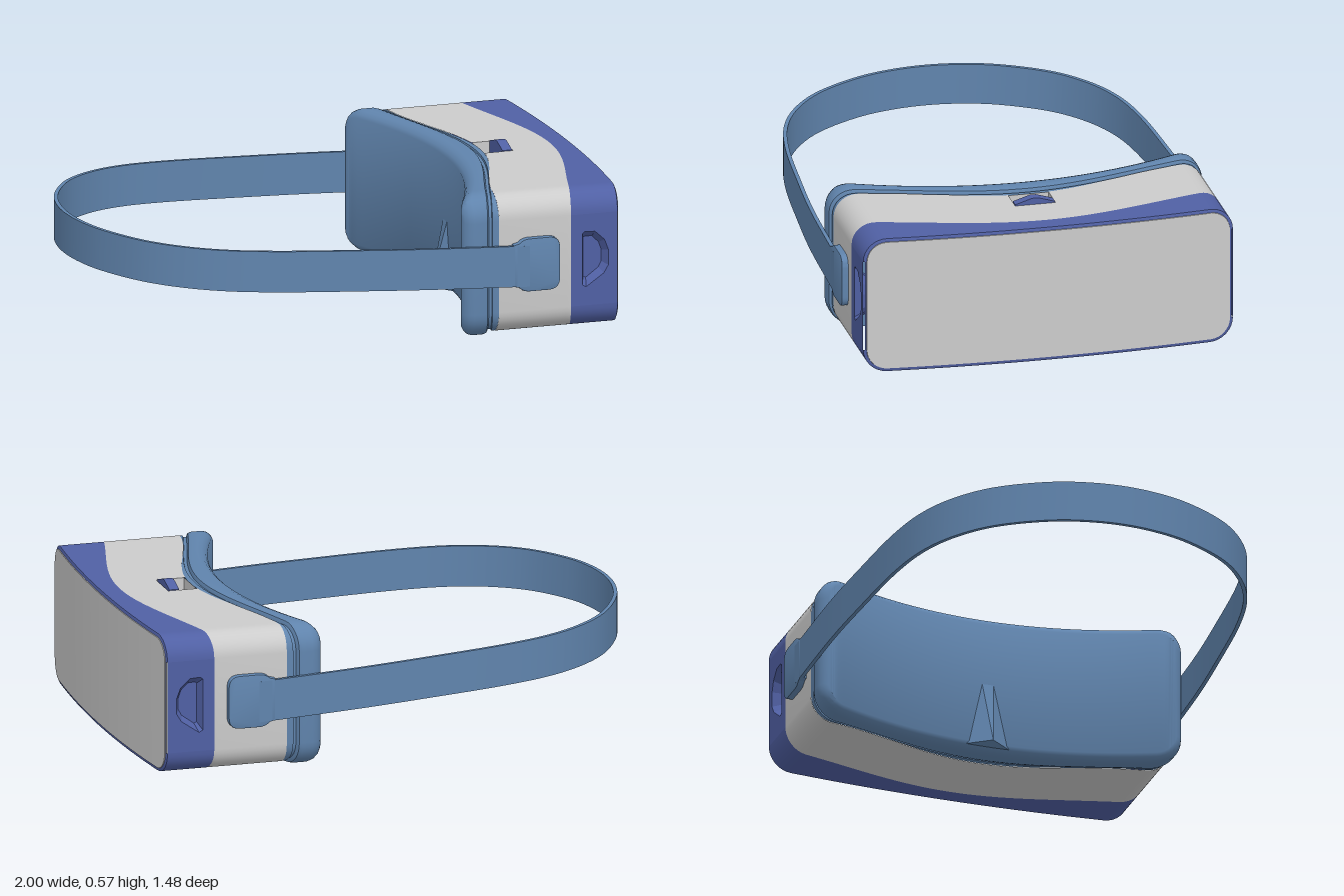
import * as THREE from 'three';
import { toCreasedNormals } from 'three/addons/utils/BufferGeometryUtils.js';
import { ConvexGeometry } from 'three/addons/geometries/ConvexGeometry.js';

const HZ = 0.715, CY = 0.2775, HY = 0.2675, R = 0.09; // housing half width, centre, half height, corner
const NOTCH = (HZ - R) * 3 / 24;                      // half width of the slider recess

const mat = (color, side = THREE.FrontSide) =>
  new THREE.MeshStandardMaterial({ color, side, roughness: 0.7 });
const grey = mat(0xcccccc), foamBlue = mat(0x6084ad), deepBlue = mat(0x5060a4);

// Depth curves: x as a function of z
const sq = z => (z / HZ) ** 2;
const wave = z => (1 - Math.cos(Math.PI * z / HZ)) / 2;
const foamBack = z => 0.51 - 0.165 * Math.min(1, (z / 0.68) ** 2);
const foamFront = z => 0.61 - 0.165 * (0.5 * sq(z) + 0.5 * wave(z));
const bodyBack = z => 0.645 - 0.16 * wave(z);
const visorBack = z => 0.92 - 0.15 * (0.5 * sq(z) + 0.5 * wave(z));
const visorFront = z => 1 - 0.04 * sq(z);

function mesh(name, geometry, material) {
  const m = new THREE.Mesh(geometry, material);
  m.name = name;
  return m;
}

function build(pos, idx, crease = 0.6) {
  const g = new THREE.BufferGeometry();
  g.setAttribute('position', new THREE.Float32BufferAttribute(pos, 3));
  g.setIndex(idx);
  return toCreasedNormals(g, crease);
}

// Columns of a rounded rectangle: [z, half height], from -z to +z
function columns(inset) {
  const hz = HZ - inset, hy = HY - inset, r = R - inset, half = [];
  for (let k = 0; k <= 24; k++) half.push([(HZ - R) * k / 24, hy]);
  for (let k = 1; k <= 8; k++) {
    const a = k / 8 * Math.PI / 2;
    half.push([hz - r + r * Math.sin(a), hy - r + r * Math.cos(a)]);
  }
  return [...half.slice(1).reverse().map(([z, h]) => [-z, h]), ...half];
}

// Curved slab: rounded-rectangle loops, each [x(z), inset], joined along x
function slab(layers, { back = false, front = false, sides = true, notch = false } = {}) {
  const pos = [], idx = [];
  let n = 0;
  for (const [fx, inset] of layers) {
    const cols = columns(inset);
    n = cols.length;
    for (const [z, h] of cols) pos.push(fx(z), CY + h, z);
    for (const [z, h] of cols.reverse()) pos.push(fx(z), CY - h, z);
  }
  const loop = 2 * n, mid = (n - 1) / 2;
  for (let k = 0; k < layers.length - 1; k++) {
    for (let i = 0; i < loop; i++) {
      if (!sides && (i === n - 1 || i === loop - 1)) continue;
      if (notch && k === 0 && i >= mid - 3 && i < mid + 3) continue;
      const a = k * loop + i, b = k * loop + (i + 1) % loop;
      idx.push(a, b, b + loop, a, b + loop, a + loop);
    }
  }
  const last = (layers.length - 1) * loop;
  for (let i = 0; i < n - 1; i++) {
    const t = i, t2 = i + 1, b = loop - 1 - i, b2 = loop - 2 - i;
    if (back) idx.push(b, t2, t, b, b2, t2);
    if (front) idx.push(last + b, last + t, last + t2, last + b, last + t2, last + b2);
  }
  return build(pos, idx);
}

// Side panel of the visor with a sunken grip, made for the +z side
function sidePanel() {
  const g = new THREE.Group();
  const double = mat(0x5060a4, THREE.DoubleSide);
  const rim = [[0.815, 0.38], [0.825, 0.387], [0.865, 0.385], [0.903, 0.35], [0.918, 0.31],
    [0.918, 0.25], [0.9, 0.22], [0.83, 0.172], [0.815, 0.18]].map(p => new THREE.Vector2(...p));
  const floor = rim.map(p => new THREE.Vector2(0.862 + (p.x - 0.862) * 0.7, 0.28 + (p.y - 0.28) * 0.75));
  const top = CY + HY - R, bottom = CY - HY + R;
  const panel = new THREE.Shape([[0.77, bottom], [0.954, bottom], [0.954, top], [0.77, top]]
    .map(p => new THREE.Vector2(...p)));
  panel.holes.push(new THREE.Path(rim));
  const pos = [], idx = [], n = rim.length;
  rim.forEach(p => pos.push(p.x, p.y, HZ));
  floor.forEach(p => pos.push(p.x, p.y, HZ - 0.035));
  for (let i = 0; i < n; i++) {
    const j = (i + 1) % n;
    idx.push(i, j, j + n, i, j + n, i + n);
  }
  g.add(mesh('visorSidePanel', new THREE.ShapeGeometry(panel).translate(0, 0, HZ), double));
  g.add(mesh('gripPocketWall', build(pos, idx, 0.3), double));
  g.add(mesh('gripPocketFloor',
    new THREE.ShapeGeometry(new THREE.Shape(floor)).translate(0, 0, HZ - 0.035), double));
  return g;
}

// Clip joining the strap to the housing, made for the +z side
function strapClip() {
  const s = new THREE.Shape();
  s.moveTo(0.54, 0.205);
  s.lineTo(0.56, 0.2);
  s.quadraticCurveTo(0.575, 0.183, 0.6, 0.183);
  s.lineTo(0.675, 0.183);
  s.quadraticCurveTo(0.716, 0.183, 0.716, 0.225);
  s.lineTo(0.716, 0.34);
  s.quadraticCurveTo(0.716, 0.381, 0.675, 0.381);
  s.lineTo(0.6, 0.381);
  s.quadraticCurveTo(0.575, 0.381, 0.56, 0.365);
  s.lineTo(0.54, 0.36);
  const g = new THREE.ExtrudeGeometry(s, {
    depth: 0.034, bevelThickness: 0.005, bevelSize: 0.004, bevelSegments: 2, curveSegments: 8,
  });
  return toCreasedNormals(g.translate(0, 0, 0.701), 0.5);
}

// Head strap: a thin upright band following a loop and rising to the rear
function strapGeometry() {
  const side = [[0.6, 0.733], [0.2, 0.728], [-0.05, 0.713], [-0.38, 0.683], [-0.56, 0.643],
    [-0.7, 0.575], [-0.83, 0.46], [-0.94, 0.27], [-0.98, 0.13]];
  const pts = [...side, [-0.992, 0], ...side.slice().reverse().map(([x, z]) => [x, -z])];
  const curve = new THREE.CatmullRomCurve3(pts.map(([x, z]) => new THREE.Vector3(x, 0, z)));
  const N = 120, pos = [], idx = [];
  for (let i = 0; i <= N; i++) {
    const p = curve.getPoint(i / N), t = curve.getTangent(i / N);
    const y = 0.28 + (0.55 - p.x) * 0.05;
    for (const [o, h] of [[1, -1], [1, 1], [-1, 1], [-1, -1]])
      pos.push(p.x - t.z * 0.0075 * o, y + 0.079 * h, p.z + t.x * 0.0075 * o);
    if (i === N) break;
    for (let k = 0; k < 4; k++) {
      const a = i * 4 + k, b = i * 4 + (k + 1) % 4;
      idx.push(a, b, b + 4, a, b + 4, a + 4);
    }
  }
  return build(pos, idx, 0.5);
}

export function createModel() {
  const model = new THREE.Group();
  model.name = 'headset';
  const shift = (f, d) => z => f(z) + d;

  // Face cushion with rounded lips, and the recessed flange in front of it
  model.add(mesh('faceCushion', slab([
    [foamBack, 0.022], [shift(foamBack, 0.008), 0.008], [shift(foamBack, 0.022), -0.004],
    [shift(foamBack, 0.04), -0.01], [shift(foamFront, -0.02), -0.01],
    [shift(foamFront, -0.006), -0.006], [foamFront, 0.006]], { back: true, front: true }), foamBlue));
  model.add(mesh('cushionFlange', slab([
    [shift(foamFront, -0.002), 0.008], [shift(foamFront, 0.012), 0.008],
    [shift(foamFront, 0.014), 0.001], [bodyBack, 0.001]], { front: true }), foamBlue));

  // Nose rest
  const nose = [[0.54, 0.02, -0.12], [0.54, 0.02, 0.12], [0.45, 0.02, 0], [0.53, 0.36, 0.03], [0.53, 0.36, -0.03]];
  model.add(mesh('noseRest', new ConvexGeometry(nose.map(p => new THREE.Vector3(...p))), foamBlue));

  // Housing, visor rim and front plate
  model.add(mesh('housing', slab([[bodyBack, 0], [() => 0.755, 0], [visorBack, 0]], { notch: true }), grey));
  model.add(mesh('visorRim', slab([
    [visorBack, 0], [shift(visorFront, -0.006), 0], [shift(visorFront, -0.003), 0.006]],
  { front: true, sides: false }), deepBlue));
  model.add(mesh('frontPlate', slab([
    [shift(visorFront, -0.008), 0.011], [visorFront, 0.013]], { front: true }), grey));

  // Slider recess and its ridged focus slider
  const recess = new THREE.BoxGeometry(0.11, 0.05, 2 * NOTCH).translate(0.7, CY + HY - 0.025, 0);
  model.add(mesh('sliderRecess', recess, mat(0xcccccc, THREE.BackSide)));
  const ridge = new THREE.Shape([[-0.077, 0.5], [0.077, 0.5], [0.077, 0.548], [0.012, 0.568], [-0.012, 0.568], [-0.077, 0.548]]
    .map(p => new THREE.Vector2(...p)));
  const slider = new THREE.ExtrudeGeometry(ridge, { depth: 0.038, bevelEnabled: false });
  model.add(mesh('focusSlider', slider.rotateY(Math.PI / 2).translate(0.712, 0, 0), deepBlue));

  // Mirrored side parts
  for (const s of [1, -1]) {
    const side = new THREE.Group();
    side.name = s > 0 ? 'leftSide' : 'rightSide';
    side.add(sidePanel(), mesh('strapClip', strapClip(), foamBlue));
    side.scale.z = s;
    model.add(side);
  }

  model.add(mesh('headStrap', strapGeometry(), mat(0x6084ad, THREE.DoubleSide)));
  return model;
}
